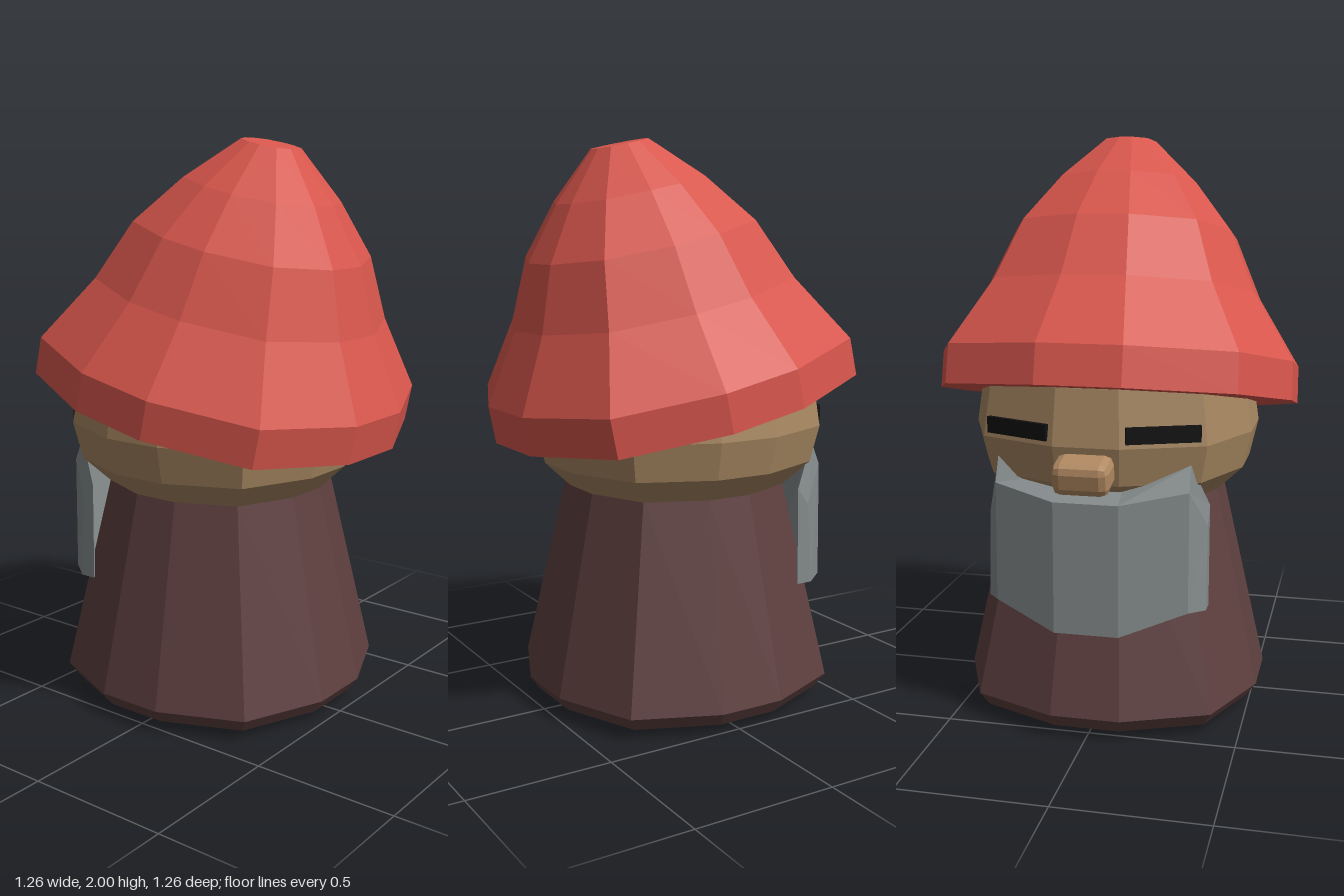
import * as THREE from 'three';
import { RoundedBoxGeometry } from 'three/addons/geometries/RoundedBoxGeometry.js';

const material = (color) => new THREE.MeshStandardMaterial({ color, flatShading: true });
const RED = material(0xd9574d), BROWN = material(0x5f4040), SKIN = material(0xa88862);
const GREY = material(0x858b8c), BLACK = material(0x111111), NOSE = material(0xb28a62);

// Skin a list of equal-sized loops with flat quads and close both ends
function loft(rings) {
  const positions = [];
  const tri = (...points) => points.forEach((p) => positions.push(...p));
  const n = rings[0].length, last = rings[rings.length - 1];
  for (let i = 0; i < rings.length - 1; i++) {
    for (let k = 0; k < n; k++) {
      const j = (k + 1) % n;
      const a = rings[i][k], b = rings[i][j], c = rings[i + 1][j], d = rings[i + 1][k];
      tri(a, d, c);
      tri(a, c, b);
    }
  }
  for (let k = 1; k < n - 1; k++) {
    tri(rings[0][0], rings[0][k], rings[0][k + 1]);
    tri(last[0], last[k + 1], last[k]);
  }
  const geometry = new THREE.BufferGeometry();
  geometry.setAttribute('position', new THREE.Float32BufferAttribute(positions, 3));
  geometry.computeVertexNormals();
  return geometry;
}

// Square outline with faceted sides: three corners repeated in four quarters
const OUTLINE = [];
for (let q = 0; q < 4; q++) {
  for (const [x, z] of [[1, 0.225], [0.77, 0.77], [0.225, 1]]) {
    const c = [1, 0, -1, 0][q], s = [0, 1, 0, -1][q];
    OUTLINE.push([x * c - z * s, x * s + z * c]);
  }
}

// Profile of [half width, height] swept round the outline
const turned = (profile) =>
  loft(profile.map(([r, y]) => OUTLINE.map(([x, z]) => [x * r, y, z * r])));

export function createModel() {
  const group = new THREE.Group();
  const add = (name, geometry, mat, x = 0, y = 0, z = 0) => {
    const mesh = new THREE.Mesh(geometry, mat);
    mesh.name = name;
    mesh.position.set(x, y, z);
    group.add(mesh);
    return mesh;
  };

  // Robe with a bevelled hem
  add('robe', turned([[0.37, 0], [0.495, 0.03], [0.53, 0.08], [0.375, 0.785]]), BROWN, -0.033);

  // Head, its top hidden under the hat
  add('head', turned([[0.373, 0.78], [0.465, 0.87], [0.495, 1.0], [0.468, 1.19], [0.43, 1.28]]), SKIN, -0.033);

  // Hat, leaning backwards
  const hat = add('hat', turned([
    [0.63, 0], [0.628, 0.133], [0.482, 0.37], [0.39, 0.585], [0.255, 0.76], [0.097, 0.916],
  ]), RED, -0.015, 1.085);
  hat.rotation.z = -0.215;

  // Narrow eyes on the slanted cheeks
  for (const side of [1, -1]) {
    const eye = add(side > 0 ? 'rightEye' : 'leftEye',
      new THREE.BoxGeometry(0.03, 0.055, 0.25), BLACK, -0.463, 1.043, side * 0.243);
    eye.rotation.y = side * 0.4;
  }

  // Bevelled nose
  const nose = add('nose', new RoundedBoxGeometry(0.13, 0.11, 0.19, 1, 0.03), NOSE, -0.555, 0.918);
  nose.rotation.z = 0.22;

  // Beard sections from the middle outwards: inner top, outer top, outer bottom, inner bottom
  const half = [
    [0.11, [[-0.4, 0.88], [-0.535, 0.815], [-0.535, 0.365], [-0.4, 0.41]]],
    [0.33, [[-0.42, 0.935], [-0.455, 0.85], [-0.46, 0.44], [-0.36, 0.43]]],
    [0.38, [[-0.325, 0.78], [-0.37, 0.72], [-0.39, 0.43], [-0.33, 0.43]]],
  ];
  const section = (side) => ([z, loop]) => loop.map(([x, y]) => [x, y, side * z]);
  add('beard', loft([...[...half].reverse().map(section(1)), ...half.map(section(-1))]), GREY);

  return group;
}
